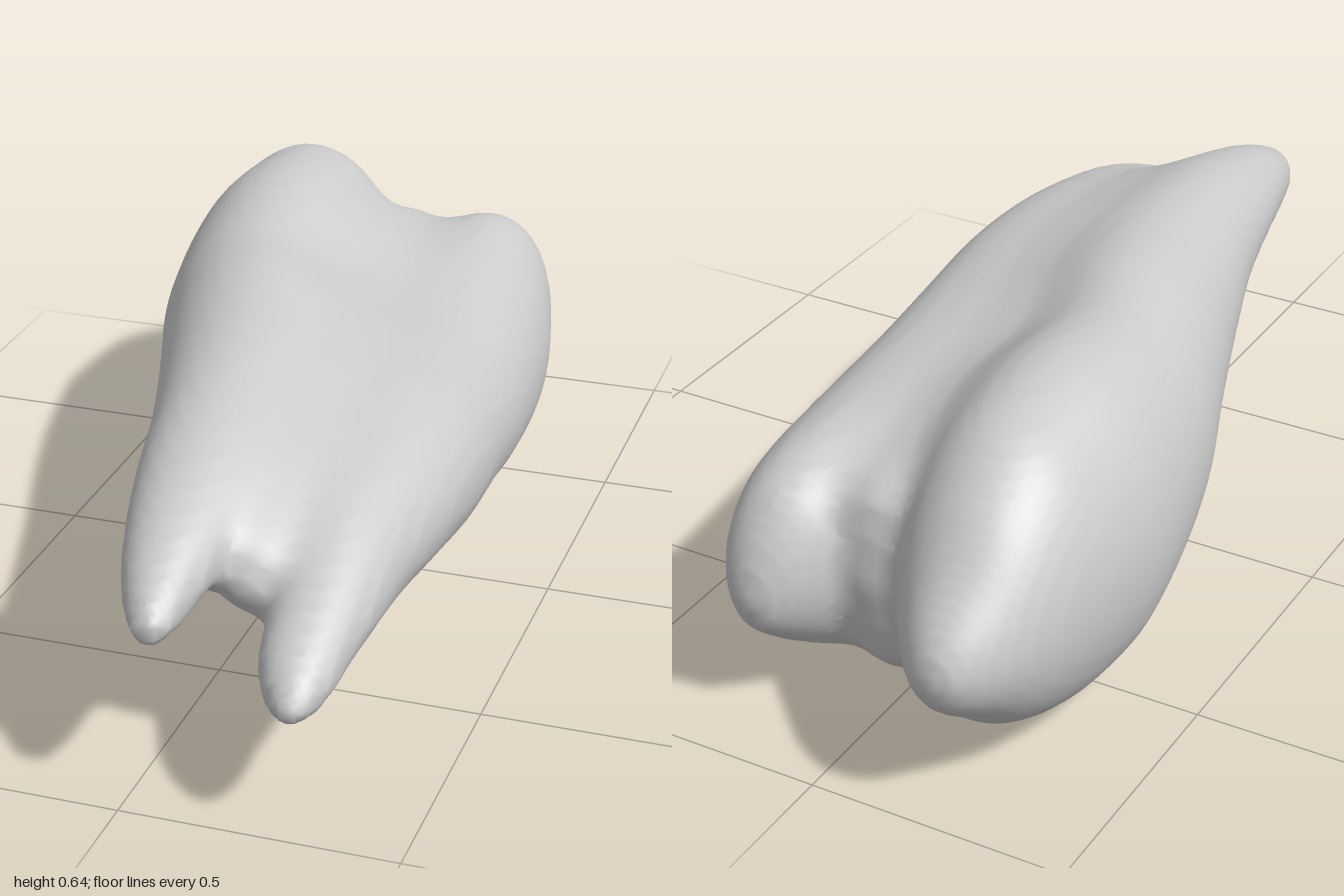
import * as THREE from 'three';

// Each lobe runs from a cusp (-z) to a root tip (+z): [z, centre x, centre y, radius x, radius y]
const LARGE_LOBE = [
  [-1.005, -0.25, 0.30, 0, 0], [-0.9, -0.24, 0.31, 0.115, 0.14], [-0.8, -0.225, 0.32, 0.165, 0.23],
  [-0.7, -0.212, 0.325, 0.195, 0.285], [-0.6, -0.2, 0.32, 0.215, 0.31], [-0.45, -0.188, 0.322, 0.229, 0.318],
  [-0.2, -0.158, 0.345, 0.212, 0.265], [0, -0.095, 0.38, 0.205, 0.23], [0.2, -0.043, 0.4, 0.187, 0.19],
  [0.4, -0.01, 0.418, 0.155, 0.148], [0.6, 0.015, 0.42, 0.13, 0.11], [0.8, 0.03, 0.395, 0.09, 0.078],
  [0.9, 0.04, 0.37, 0.064, 0.06], [1.01, 0.06, 0.345, 0, 0],
];
const SMALL_LOBE = [
  [-0.905, 0.185, 0.26, 0, 0], [-0.85, 0.18, 0.285, 0.085, 0.12], [-0.8, 0.173, 0.292, 0.115, 0.165],
  [-0.7, 0.163, 0.28, 0.16, 0.21], [-0.5, 0.165, 0.26, 0.2, 0.23], [-0.2, 0.185, 0.28, 0.21, 0.2],
  [0, 0.205, 0.305, 0.2, 0.185], [0.2, 0.23, 0.325, 0.185, 0.175], [0.4, 0.245, 0.337, 0.165, 0.148],
  [0.6, 0.255, 0.327, 0.13, 0.123], [0.8, 0.28, 0.292, 0.085, 0.08], [0.9, 0.285, 0.262, 0.068, 0.061],
  [1.0, 0.3, 0.235, 0, 0],
];
// The core fills the valley between the lobes and rounds off the notch at either end
const CORE = [
  [-0.8, 0, 0.3, 0, 0], [-0.77, 0, 0.29, 0.09, 0.16], [-0.7, 0, 0.275, 0.13, 0.21],
  [-0.5, 0, 0.258, 0.17, 0.238], [-0.2, 0.03, 0.295, 0.17, 0.205], [0, 0.07, 0.325, 0.16, 0.185],
  [0.2, 0.105, 0.345, 0.14, 0.165], [0.4, 0.125, 0.36, 0.11, 0.13], [0.6, 0.14, 0.365, 0.09, 0.1],
  [0.74, 0.15, 0.35, 0.07, 0.072], [0.795, 0.155, 0.34, 0, 0],
];

// Smooth lookup of a lobe's section at z; radii are squared while blending so the tips come out round
function sectionAt(table, z) {
  const last = table.length - 1;
  const zc = THREE.MathUtils.clamp(z, table[0][0], table[last][0]);
  let i = 0;
  while (i < last - 1 && zc > table[i + 1][0]) i++;
  const h = table[i + 1][0] - table[i][0];
  const t = (zc - table[i][0]) / h;
  const value = (n, k) => (k > 2 ? table[n][k] ** 2 : table[n][k]);
  const slope = (n, k) => {
    const a = Math.max(n - 1, 0), b = Math.min(n + 1, last);
    return (value(b, k) - value(a, k)) / (table[b][0] - table[a][0]);
  };
  const at = (k) => {
    const t2 = t * t, t3 = t2 * t;
    return (2 * t3 - 3 * t2 + 1) * value(i, k) + (t3 - 2 * t2 + t) * h * slope(i, k)
      + (3 * t2 - 2 * t3) * value(i + 1, k) + (t3 - t2) * h * slope(i + 1, k);
  };
  const radius = (k) => Math.sqrt(Math.max(at(k), 0.00004));
  return { cx: at(1), cy: at(2), rx: radius(3), ry: radius(4), beyond: Math.abs(z - zc) };
}

// Approximate distance to an elliptical section
function lobeDistance(s, x, y) {
  const d = (Math.hypot((x - s.cx) / s.rx, (y - s.cy) / s.ry) - 1) * Math.min(s.rx, s.ry);
  return s.beyond > 0 ? Math.max(d, 0) + s.beyond : d;
}

// Union of two distances with a fillet
function melt(a, b, soft) {
  const mix = Math.max(soft - Math.abs(a - b), 0);
  return Math.min(a, b) - mix * mix / (4 * soft);
}

// Samples the lobes on a grid, melts them together and skins the result with quads
function toothGeometry() {
  const step = 0.02;
  const min = [-0.47, -0.05, -1.05];
  const size = [48, 38, 106];
  const stride = [1, size[0], size[0] * size[1]];
  const field = new Float32Array(size[0] * size[1] * size[2]);
  for (let k = 0; k < size[2]; k++) {
    const z = min[2] + k * step;
    const [large, small, core] = [LARGE_LOBE, SMALL_LOBE, CORE].map((table) => sectionAt(table, z));
    // The blend is wide in the body and tighter between the roots and the cusps
    const soft = 0.05 + 0.04 * (1 - THREE.MathUtils.smoothstep(Math.abs(z), 0.4, 0.8));
    for (let j = 0; j < size[1]; j++) for (let i = 0; i < size[0]; i++) {
      const x = min[0] + i * step, y = min[1] + j * step;
      const lobes = melt(lobeDistance(large, x, y), lobeDistance(small, x, y), soft);
      field[i + j * stride[1] + k * stride[2]] = melt(lobes, lobeDistance(core, x, y), soft);
    }
  }

  // One vertex per crossed cell, at the mean of its edge crossings
  const positions = [], index = [];
  const vertexOf = new Int32Array(field.length).fill(-1);
  const eachCell = (visit) => {
    for (let k = 1; k < size[2] - 1; k++)
      for (let j = 1; j < size[1] - 1; j++)
        for (let i = 1; i < size[0] - 1; i++) visit([i, j, k], i + j * stride[1] + k * stride[2]);
  };
  eachCell((cell, p) => {
    const sum = [0, 0, 0];
    let count = 0;
    for (let axis = 0; axis < 3; axis++) for (let c = 0; c < 4; c++) {
      const b = (axis + 1) % 3, d = (axis + 2) % 3;
      const ob = c & 1, od = c >> 1;
      const from = p + ob * stride[b] + od * stride[d];
      const f0 = field[from], f1 = field[from + stride[axis]];
      if ((f0 < 0) === (f1 < 0)) continue;
      sum[axis] += f0 / (f0 - f1);
      sum[b] += ob;
      sum[d] += od;
      count++;
    }
    if (!count) return;
    vertexOf[p] = positions.length / 3;
    for (let n = 0; n < 3; n++) positions.push(min[n] + (cell[n] + sum[n] / count) * step);
  });

  // One quad around each crossed grid edge, facing outward
  eachCell((cell, p) => {
    for (let axis = 0; axis < 3; axis++) {
      const inside = field[p] < 0;
      if (inside === (field[p + stride[axis]] < 0)) continue;
      const b = stride[(axis + 1) % 3], c = stride[(axis + 2) % 3];
      const q = [p - b - c, p - c, p, p - b].map((n) => vertexOf[n]);
      if (!inside) q.reverse();
      index.push(q[0], q[1], q[2], q[0], q[2], q[3]);
    }
  });

  const geometry = new THREE.BufferGeometry();
  geometry.setAttribute('position', new THREE.Float32BufferAttribute(positions, 3));
  geometry.setIndex(index);
  geometry.computeVertexNormals();
  return geometry;
}

export function createModel() {
  const enamel = new THREE.MeshStandardMaterial({ color: 0xcccccc });
  enamel.name = 'enamel grey';
  const tooth = new THREE.Mesh(toothGeometry(), enamel);
  tooth.name = 'tooth';
  const model = new THREE.Group();
  model.name = 'twoRootedTooth';
  model.add(tooth);
  return model;
}
